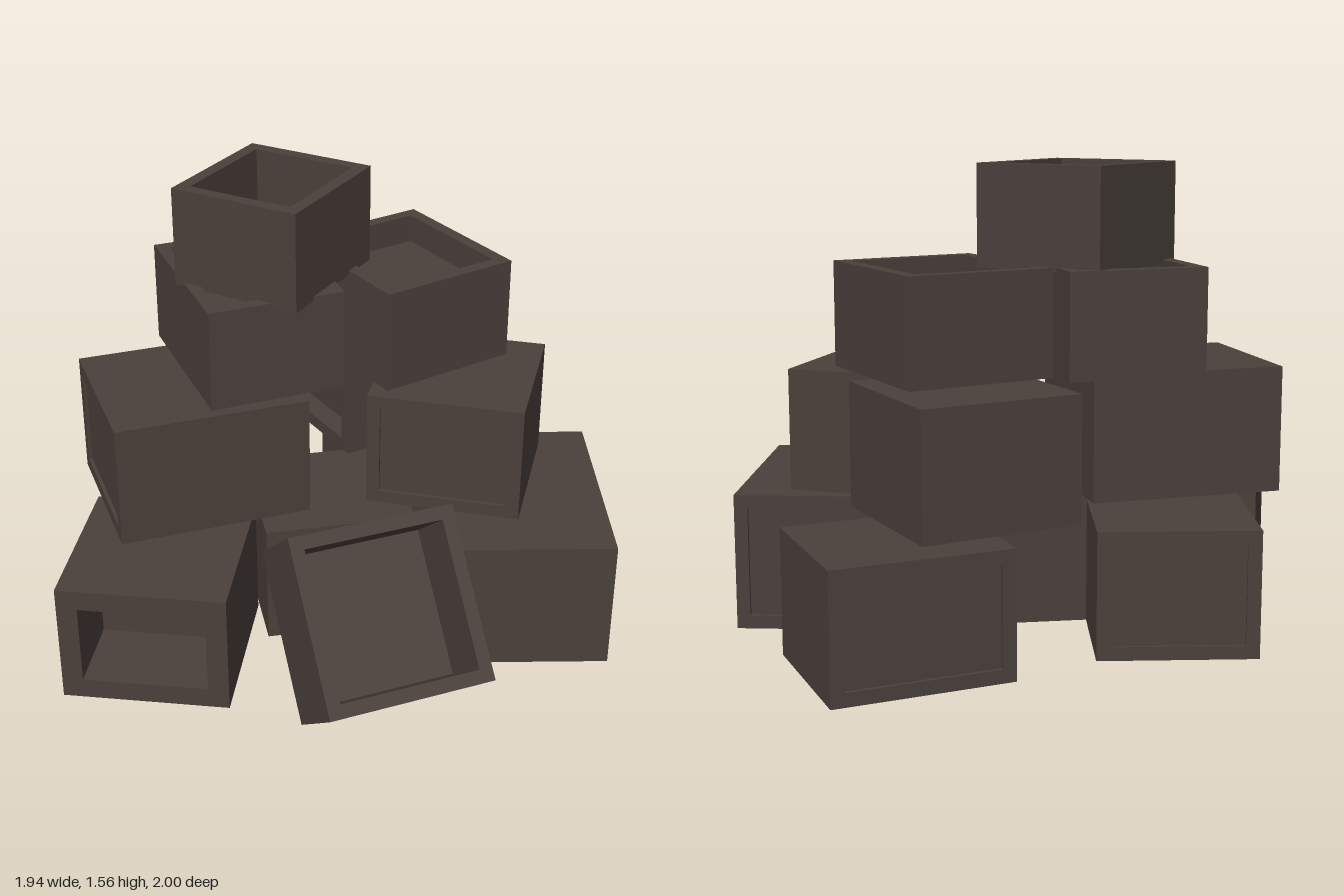
import * as THREE from 'three';
import { mergeGeometries } from 'three/addons/utils/BufferGeometryUtils.js';

const darkWood = new THREE.MeshStandardMaterial({ color: 0x4a403b });
darkWood.name = 'darkWood';

// open box: a x b mouth facing +z, total depth d, hollowed to the given recess
function crateGeometry(a, b, d, recess, wall) {
  const rect = (T, w, h) => new T([[-w, -h], [w, -h], [w, h], [-w, h]].map(([x, y]) => new THREE.Vector2(x / 2, y / 2)));
  const rim = rect(THREE.Shape, a, b);
  rim.holes.push(rect(THREE.Path, a - 2 * wall, b - 2 * wall));
  const walls = new THREE.ExtrudeGeometry(rim, { depth: recess, bevelEnabled: false });
  walls.translate(0, 0, d / 2 - recess);
  const base = new THREE.BoxGeometry(a, b, d - recess).toNonIndexed();
  base.translate(0, 0, -recess / 2);
  walls.clearGroups();
  base.clearGroups();
  return mergeGeometries([walls, base]);
}

// upright crate of size [x, y, z], its mouth turned to one side
function crate({ name, at, size, yaw, open, recess, wall = 0.045 }) {
  const [sx, sy, sz] = size;
  let g;
  if (open === 'top') g = crateGeometry(sx, sz, sy, recess, wall).rotateX(-Math.PI / 2);
  else if (open === 'left') g = crateGeometry(sz, sy, sx, recess, wall).rotateY(-Math.PI / 2);
  else if (open === 'back') g = crateGeometry(sx, sy, sz, recess, wall).rotateY(Math.PI);
  else g = crateGeometry(sx, sy, sz, recess, wall);
  const mesh = new THREE.Mesh(g, darkWood);
  mesh.name = name;
  mesh.position.set(at[0], at[1] + sy / 2, at[2]);
  mesh.rotation.y = yaw;
  return mesh;
}

export function createModel() {
  const group = new THREE.Group();
  group.name = 'cratePile';

  const crates = [
    // bottom layer
    { name: 'bottomFrontCrate', at: [-0.625, 0.01, 0.30], size: [0.56, 0.42, 0.58], yaw: -0.254, open: 'front', recess: 0.28, wall: 0.07 },
    { name: 'bottomBackCrate', at: [-0.465, 0.01, -0.375], size: [0.52, 0.42, 0.55], yaw: -0.03, open: 'back', recess: 0.01 },
    { name: 'bottomSideCrate', at: [0.662, 0.005, 0.14], size: [0.525, 0.46, 0.79], yaw: -0.115, open: 'back', recess: 0.015 },
    { name: 'bottomCornerCrate', at: [0.43, 0.01, -0.66], size: [0.59, 0.42, 0.52], yaw: 0.34, open: 'back', recess: 0.015 },
    { name: 'bottomMiddleCrate', at: [-0.02, 0.01, 0.01], size: [0.52, 0.43, 0.5], yaw: 0.07, open: 'front', recess: 0.02 },
    // second layer
    { name: 'middleRightCrate', at: [-0.48, 0.455, -0.035], size: [0.66, 0.425, 0.56], yaw: 0.206, open: 'left', recess: 0.012 },
    { name: 'middleBackCrate', at: [0.215, 0.465, -0.535], size: [0.54, 0.41, 0.55], yaw: 0.42, open: 'left', recess: 0.08 },
    { name: 'middleLeftCrate', at: [0.44, 0.465, 0], size: [0.53, 0.41, 0.53], yaw: -0.37, open: 'front', recess: 0.012 },
    // third layer
    { name: 'upperRightCrate', at: [-0.273, 0.88, -0.155], size: [0.47, 0.35, 0.61], yaw: 0.25, open: 'top', recess: 0.16 },
    { name: 'upperLeftCrate', at: [0.275, 0.875, -0.24], size: [0.51, 0.355, 0.57], yaw: 0.45, open: 'top', recess: 0.1 },
    // top
    { name: 'topCrate', at: [-0.18, 1.215, -0.14], size: [0.465, 0.34, 0.5], yaw: -0.64, open: 'top', recess: 0.22 },
  ];
  for (const c of crates) group.add(crate(c));

  // crate tipped back on its edge, mouth facing up and forward
  const u = new THREE.Vector3(0.97, 0, -0.24).normalize();
  const n = new THREE.Vector3(0.187, 0.63, 0.757);
  n.addScaledVector(u, -n.dot(u)).normalize();
  const v = new THREE.Vector3().crossVectors(n, u);
  const mouth = new THREE.Vector3(0.093, 0.425, 0.75);
  const depth = 0.33;
  const tipped = new THREE.Mesh(crateGeometry(0.566, 0.58, depth, 0.24, 0.045), darkWood);
  tipped.name = 'tippedCrate';
  tipped.quaternion.setFromRotationMatrix(new THREE.Matrix4().makeBasis(u, v, n));
  tipped.position.copy(mouth).addScaledVector(n, -depth / 2);
  group.add(tipped);

  return group;
}
